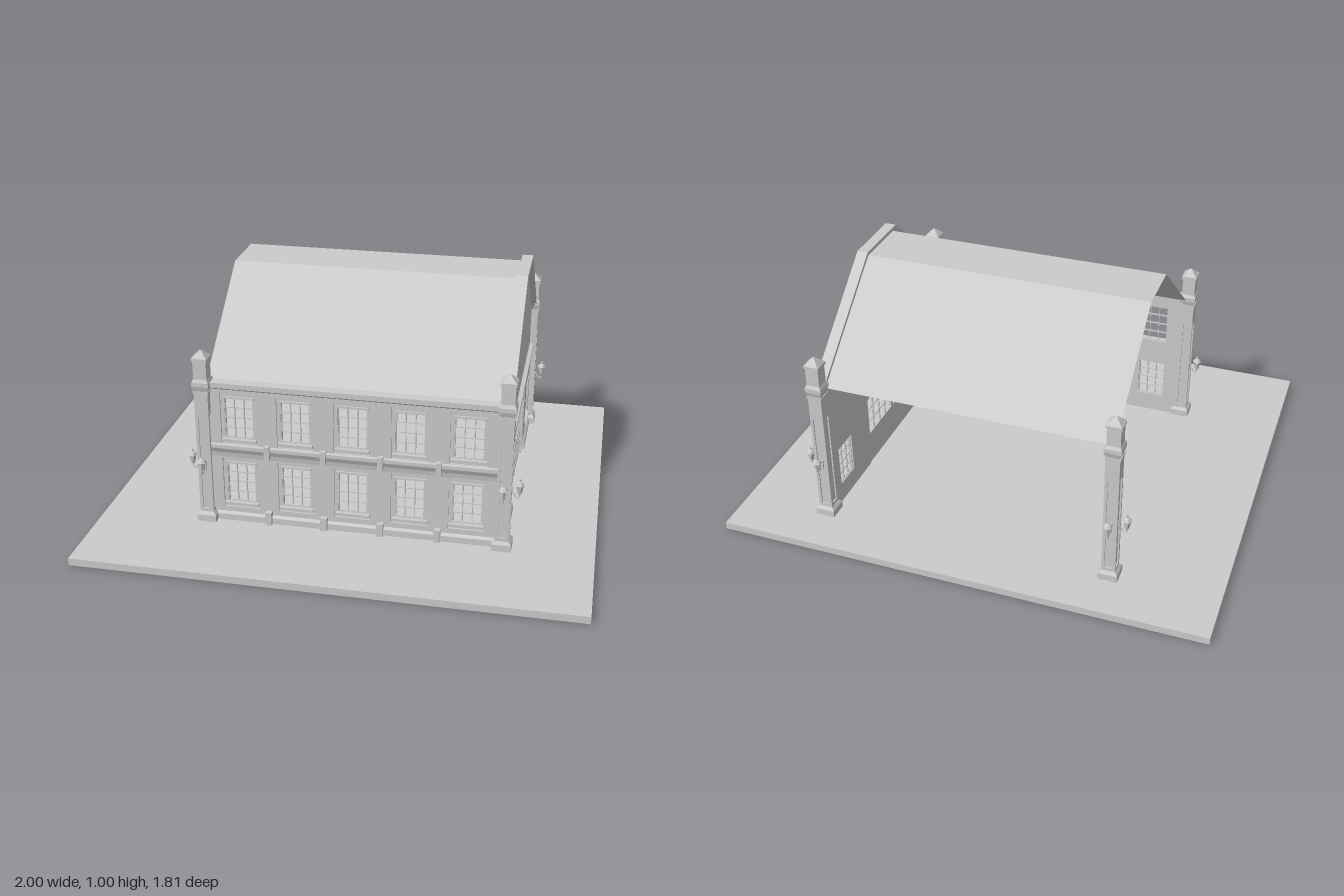
import * as THREE from 'three';

const mat = new THREE.MeshStandardMaterial({ color: 0xcccccc, flatShading: true, side: THREE.DoubleSide });
const GROUND = 0.03;

function add(parent, name, geo, x = 0, y = 0, z = 0) {
  const m = new THREE.Mesh(geo, mat);
  m.name = name;
  m.position.set(x, y, z);
  parent.add(m);
  return m;
}
// Box given by its limits
function block(parent, name, x0, x1, y0, y1, z0, z1) {
  return add(parent, name, new THREE.BoxGeometry(x1 - x0, y1 - y0, z1 - z0), (x0 + x1) / 2, (y0 + y1) / 2, (z0 + z1) / 2);
}
const poly = (pts) => new THREE.Shape(pts.map((p) => new THREE.Vector2(...p)));
const rect = (x0, x1, y0, y1) => poly([[x0, y0], [x1, y0], [x1, y1], [x0, y1]]);

// Plate with openings, from z0 to z1
function plate(parent, name, shape, holes, z0, z1) {
  shape.holes = holes;
  const geo = new THREE.ExtrudeGeometry(shape, { depth: z1 - z0, bevelEnabled: false, curveSegments: 8 });
  return add(parent, name, geo, 0, 0, z0);
}
// Moulding: (z, y) profile swept along x
function moulding(parent, name, profile, x0, x1) {
  const geo = new THREE.ExtrudeGeometry(poly(profile), { depth: x1 - x0, bevelEnabled: false });
  add(parent, name, geo, x1, 0, 0).rotation.y = -Math.PI / 2;
}
// Sash with open panes
function sash(parent, x0, x1, y0, y1, cols, rows, z = -0.008) {
  const g = new THREE.Group();
  g.name = 'windowSash';
  const f = 0.006, b = 0.0018;
  plate(g, 'sashFrame', rect(x0 - 0.003, x1 + 0.003, y0 - 0.003, y1 + 0.003), [rect(x0 + f / 2, x1 - f / 2, y0 + f / 2, y1 - f / 2)], z - 0.006, z + 0.005);
  for (let i = 1; i < cols; i++) {
    const x = x0 + ((x1 - x0) * i) / cols;
    block(g, 'verticalBar', x - b, x + b, y0, y1, z - 0.004, z + 0.003);
  }
  for (let j = 1; j < rows; j++) {
    const y = y0 + ((y1 - y0) * j) / rows;
    block(g, 'horizontalBar', x0, x1, y - b, y + b, z - 0.004, z + 0.003);
  }
  parent.add(g);
}
// House window with sill and lintel
function windowUnit(parent, cx, y0) {
  const y1 = y0 + 0.172, w = 0.058;
  sash(parent, cx - w, cx + w, y0, y1, 3, 4);
  block(parent, 'windowSill', cx - 0.07, cx + 0.07, y0 - 0.012, y0 - 0.002, -0.015, 0.016);
  block(parent, 'windowLintel', cx - 0.064, cx + 0.064, y1, y1 + 0.008, -0.01, 0.008);
}
const opening = (cx, y0) => rect(cx - 0.058, cx + 0.058, y0, y0 + 0.172);
const recess = (cx, y0) => rect(cx - 0.074, cx + 0.074, y0 - 0.025, y0 + 0.195);

// Long front wall, two storeys of five windows
function frontWall() {
  const g = new THREE.Group();
  g.name = 'frontWall';
  const xs = [-0.42, -0.192, 0.037, 0.266, 0.495], ys = [0.113, 0.398];
  const cells = xs.flatMap((x) => ys.map((y) => [x, y]));
  plate(g, 'wall', rect(-0.55, 0.625, GROUND, 0.625), cells.map((c) => opening(...c)), -0.02, 0);
  plate(g, 'pilasterLayer', rect(-0.545, 0.62, GROUND, 0.61), cells.map((c) => recess(...c)), 0, 0.008);
  cells.forEach((c) => windowUnit(g, ...c));
  moulding(g, 'storeyCornice', [[0, 0.315], [0.009, 0.315], [0.012, 0.335], [0.021, 0.355], [0.021, 0.37], [0, 0.373]], -0.54, 0.615);
  moulding(g, 'eavesCornice', [[-0.022, 0.6], [0.012, 0.6], [0.012, 0.61], [0.018, 0.616], [0.018, 0.628], [0.024, 0.63], [0.024, 0.64], [-0.022, 0.64]], -0.54, 0.615);
  moulding(g, 'plinth', [[0, GROUND], [0.018, GROUND], [0.018, 0.056], [0.008, 0.066], [0, 0.066]], -0.54, 0.615);
  for (let i = 0; i < 4; i++) {
    const x = (xs[i] + xs[i + 1]) / 2;
    block(g, 'corniceBracket', x - 0.011, x + 0.011, 0.32, 0.38, 0, 0.028);
    block(g, 'plinthBlock', x - 0.013, x + 0.013, GROUND, 0.085, 0, 0.032);
  }
  g.position.z = 0.478;
  return g;
}

// Outline of the raking top, lowered by t
const rake = (t) => [[-0.47, 0.643 - 1.3 * t], [-0.035 + 0.36 * t, 1 - t], [0.235 - 0.36 * t, 1 - t], [0.67, 0.643 - 1.3 * t]];

// Gable end with double gate and two windows
function gableWall() {
  const g = new THREE.Group();
  g.name = 'gableWall';
  const xs = [-0.36, 0.555], y0 = 0.113;
  const [d0, d1] = [-0.155, 0.35];
  const wall = poly([[-0.47, GROUND], [d0, GROUND], [d0, 0.37], [d1, 0.37], [d1, GROUND], [0.67, GROUND], ...rake(0.01).reverse()]);
  plate(g, 'wall', wall, xs.map((x) => opening(x, y0)), -0.02, 0);
  [[-0.465, -0.184, xs[0]], [0.378, 0.665, xs[1]]].forEach(([a, b, x]) => {
    plate(g, 'sidePanelLayer', rect(a, b, GROUND, 0.395), [recess(x, y0)], 0, 0.007);
    windowUnit(g, x, y0);
    moulding(g, 'plinth', [[0, GROUND], [0.018, GROUND], [0.018, 0.056], [0.008, 0.066], [0, 0.066]], a, b);
  });
  moulding(g, 'storeyCornice', [[0, 0.39], [0.008, 0.395], [0.008, 0.41], [0.018, 0.418], [0.018, 0.433], [0, 0.437]], -0.465, 0.665);
  // Stepped raking parapet
  const strip = (a, b) => poly([...rake(a), ...rake(b).reverse()]);
  plate(g, 'parapetCoping', strip(0, 0.013), [], -0.025, 0.02);
  plate(g, 'parapetMoulding', strip(0.013, 0.024), [], -0.02, 0.012);
  plate(g, 'parapetFascia', strip(0.024, 0.034), [], -0.02, 0.006);
  // Gate
  plate(g, 'gateFrame', poly([[d0, GROUND], [d0 + 0.012, GROUND], [d0 + 0.012, 0.358], [d1 - 0.012, 0.358], [d1 - 0.012, GROUND], [d1, GROUND], [d1, 0.372], [d0, 0.372]]), [], -0.018, 0.006);
  const leaves = [[-0.134, 0.09], [0.104, 0.328]];
  plate(g, 'gateLeaves', rect(d0 + 0.01, d1 - 0.01, GROUND, 0.36), leaves.map(([a, b]) => rect(a, b, 0.17, 0.346)), -0.016, -0.006);
  leaves.forEach(([a, b]) => {
    sash(g, a, b, 0.17, 0.346, 4, 3, -0.01);
    for (let i = 0; i <= 8; i++) {
      const x = a + 0.006 + ((b - a - 0.012) * i) / 8;
      block(g, 'gatePlankRib', x - 0.004, x + 0.004, 0.042, 0.153, -0.008, -0.002);
    }
  });
  g.rotation.y = Math.PI / 2;
  g.position.x = 0.635;
  return g;
}

// Wall lantern, mounted on a face at z = 0
function lantern() {
  const g = new THREE.Group();
  g.name = 'lantern';
  const profile = [[0, 0.262], [0.004, 0.266], [0.004, 0.272], [0.009, 0.276], [0.015, 0.308], [0.019, 0.31], [0.011, 0.322], [0.004, 0.326], [0.004, 0.333], [0, 0.342]];
  add(g, 'lanternBody', new THREE.LatheGeometry(profile.map((p) => new THREE.Vector2(...p)), 6), 0, 0, 0.033);
  const arm = new THREE.CatmullRomCurve3([[0.284, -0.003], [0.274, 0.009], [0.257, 0.019], [0.254, 0.029], [0.266, 0.033]].map(([y, z]) => new THREE.Vector3(0, y, z)));
  add(g, 'lanternArm', new THREE.TubeGeometry(arm, 10, 0.003, 5));
  block(g, 'lanternPlate', -0.007, 0.007, 0.258, 0.3, -0.004, 0.003);
  return g;
}

// Square four-sided frustum
function frustum(parent, name, w0, w1, y0, y1) {
  const geo = new THREE.CylinderGeometry(w1 / Math.SQRT2, w0 / Math.SQRT2, y1 - y0, 4);
  add(parent, name, geo, 0, (y0 + y1) / 2, 0).rotation.y = Math.PI / 4;
}
function square(parent, name, w, y0, y1) {
  block(parent, name, -w / 2, w / 2, y0, y1, -w / 2, w / 2);
}

// Corner pillar with arched panels; lanterns on the two outer faces
function pillar(x, z, sx, sz) {
  const g = new THREE.Group();
  g.name = 'cornerPillar';
  square(g, 'base', 0.078, GROUND, 0.058);
  frustum(g, 'baseSlope', 0.078, 0.058, 0.058, 0.07);
  square(g, 'core', 0.044, 0.06, 0.6);
  for (let i = 0; i < 4; i++) {
    const arch = new THREE.Path();
    arch.moveTo(-0.016, 0.085).lineTo(0.016, 0.085).lineTo(0.016, 0.488);
    arch.absarc(0, 0.488, 0.016, 0, Math.PI, false);
    plate(g, 'archedPanel', rect(-0.028, 0.028, 0.06, 0.6), [arch], 0.022, 0.028).geometry.rotateY(0);
    const face = g.children[g.children.length - 1];
    face.geometry.translate(0, 0, 0.022).rotateY((i * Math.PI) / 2);
    face.position.z = 0;
  }
  square(g, 'collar', 0.062, 0.592, 0.604);
  frustum(g, 'capitalFlare', 0.056, 0.068, 0.604, 0.625);
  square(g, 'capital', 0.068, 0.625, 0.642);
  frustum(g, 'capitalSlope', 0.068, 0.054, 0.642, 0.655);
  square(g, 'topBlock', 0.054, 0.65, 0.73);
  square(g, 'topSlab', 0.062, 0.73, 0.742);
  frustum(g, 'capSlope', 0.058, 0.028, 0.742, 0.758);
  frustum(g, 'capPoint', 0.028, 0.008, 0.758, 0.768);
  const a = lantern(), b = lantern();
  a.rotation.y = (sx * Math.PI) / 2;
  a.position.x = sx * 0.025;
  b.rotation.y = sz > 0 ? 0 : Math.PI;
  b.position.z = sz * 0.025;
  g.add(a, b);
  g.position.set(x, 0, z);
  return g;
}

export function createModel() {
  const model = new THREE.Group();
  model.name = 'hall';
  block(model, 'groundSlab', -1, 1, 0, GROUND, -0.905, 0.905);
  model.add(frontWall(), gableWall());
  for (const [x, sx] of [[-0.561, -1], [0.637, 1]])
    for (const [z, sz] of [[0.487, 1], [-0.692, -1]]) model.add(pillar(x, z, sx, sz));
  // Thin three-plane roof, open to the back and the left
  const line = [[0.462, 0.622], [0.015, 0.98], [-0.22, 0.98], [-0.67, 0.622]];
  for (let i = 0; i < 3; i++) {
    const [[z0, y0], [z1, y1]] = [line[i], line[i + 1]];
    const geo = new THREE.PlaneGeometry(1.178, Math.hypot(z1 - z0, y1 - y0));
    const m = add(model, 'roofPlane', geo, 0.034, (y0 + y1) / 2, (z0 + z1) / 2);
    m.rotation.x = Math.atan2(z1 - z0, y1 - y0);
  }
  return model;
}
